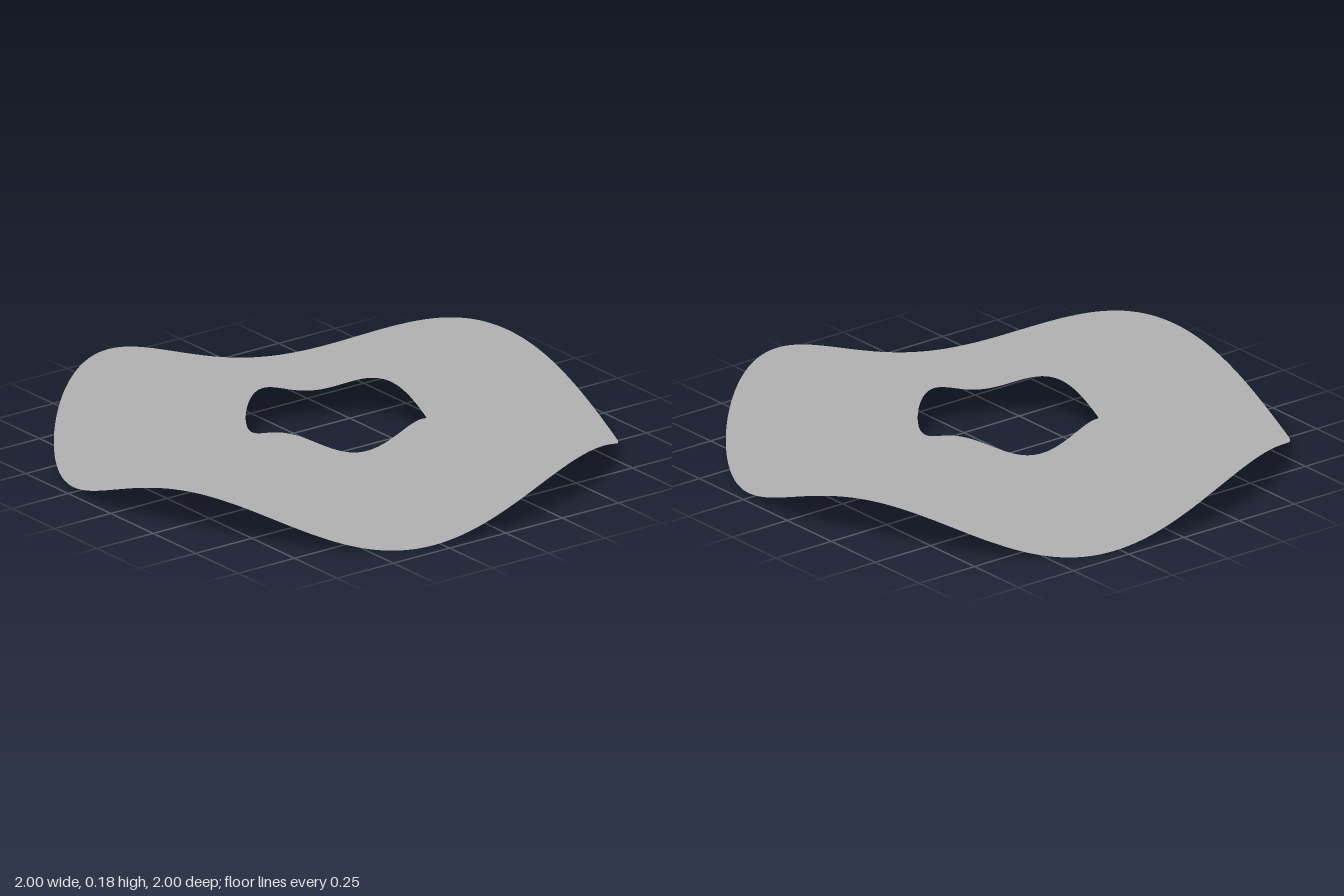
import * as THREE from 'three';

const INNER = 0.32, OUTER = 1, TOP = 0.178, WAVES = 4;

// Height of the sheet: crests stay level, troughs deepen towards the rim
function height(x, z) {
  const r = Math.hypot(x, z);
  const angle = Math.atan2(z, x);
  return TOP - TOP * r * (1 + Math.sin(WAVES * angle)) / 2;
}

export function createModel() {
  const group = new THREE.Group();
  group.name = 'waveWasher';

  const grey = new THREE.MeshStandardMaterial({ color: 0xb0b0b0, side: THREE.DoubleSide });
  grey.name = 'light grey';

  // Flat ring raised and lowered into waves, keeping its even vertical normals
  const geometry = new THREE.RingGeometry(INNER, OUTER, 240, 24);
  geometry.rotateX(-Math.PI / 2);
  const p = geometry.attributes.position;
  for (let i = 0; i < p.count; i++) p.setY(i, height(p.getX(i), p.getZ(i)));

  const ring = new THREE.Mesh(geometry, grey);
  ring.name = 'wavyRing';
  group.add(ring);
  return group;
}
